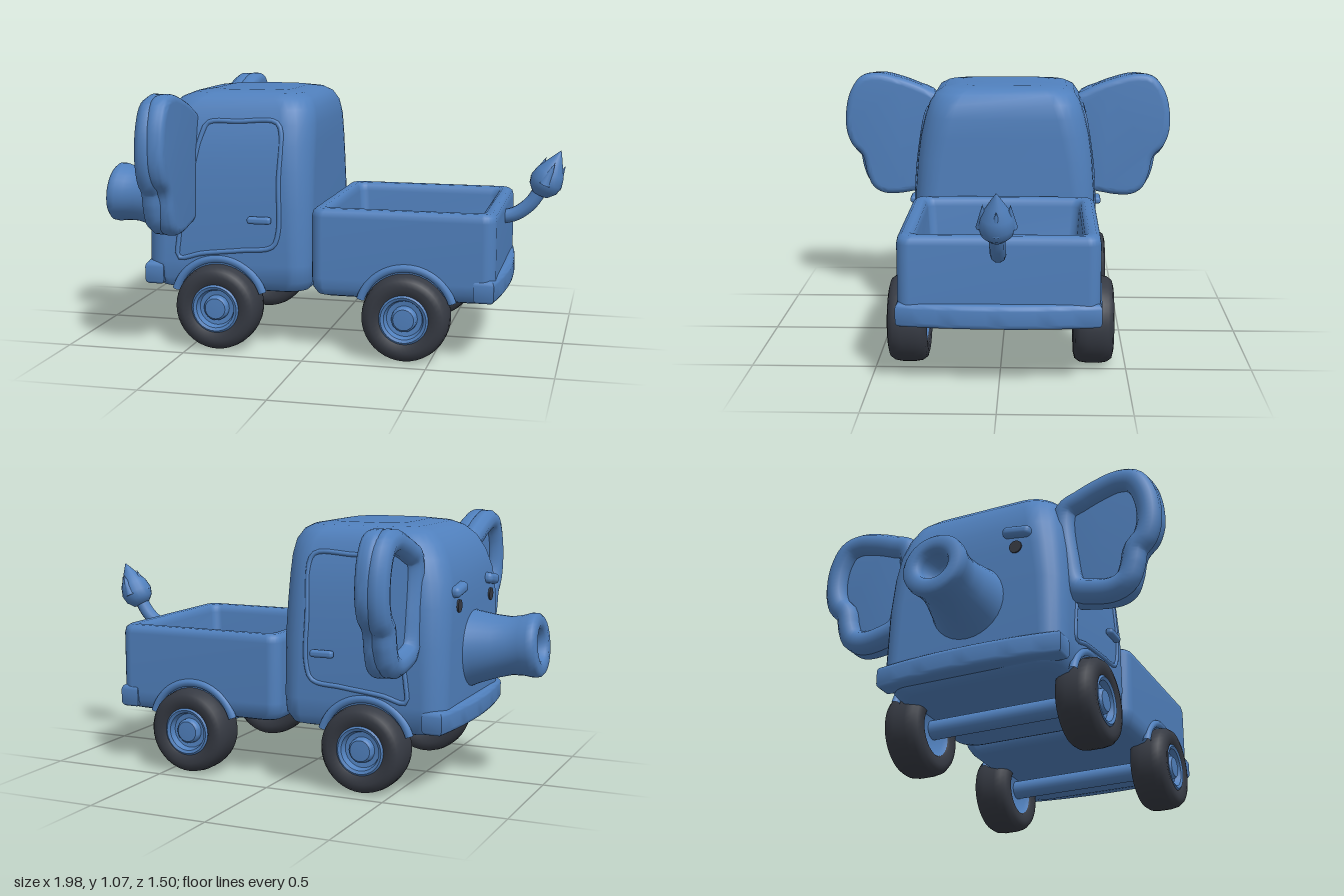
import * as THREE from 'three';
import { toCreasedNormals } from 'three/addons/utils/BufferGeometryUtils.js';
import { RoundedBoxGeometry } from 'three/addons/geometries/RoundedBoxGeometry.js';

const V = (x, y, z) => new THREE.Vector3(x, y, z);
const P = (x, y) => new THREE.Vector2(x, y);

// Stacks rounded rectangles [y, xMin, xMax, halfDepth, cornerRadius] into a closed skin
function loft(sections, n = 6) {
  const pos = [], idx = [], count = 4 * (n + 1);
  for (const [y, x0, x1, hz, r] of sections) {
    const cx = (x0 + x1) / 2, hx = (x1 - x0) / 2;
    for (let q = 0; q < 4; q++) {
      const sx = q === 0 || q === 3 ? 1 : -1, sz = q < 2 ? 1 : -1;
      for (let k = 0; k <= n; k++) {
        const a = (q + k / n) * Math.PI / 2;
        pos.push(cx + sx * (hx - r) + r * Math.cos(a), y, sz * (hz - r) + r * Math.sin(a));
      }
    }
  }
  for (let i = 0; i < sections.length - 1; i++) {
    for (let j = 0; j < count; j++) {
      const a = i * count + j, b = i * count + (j + 1) % count;
      idx.push(a, a + count, b, b, a + count, b + count);
    }
  }
  const last = (sections.length - 1) * count, c0 = pos.length / 3;
  for (const s of [sections[0], sections[sections.length - 1]]) pos.push((s[1] + s[2]) / 2, s[0], 0);
  for (let j = 0; j < count; j++) {
    const k = (j + 1) % count;
    idx.push(c0, j, k, c0 + 1, last + k, last + j);
  }
  const g = new THREE.BufferGeometry();
  g.setAttribute('position', new THREE.Float32BufferAttribute(pos, 3));
  g.setIndex(idx);
  g.computeVertexNormals();
  return g;
}

const tube = (pts, r, closed = false, seg = 48) =>
  new THREE.TubeGeometry(new THREE.CatmullRomCurve3(pts, closed), seg, r, 10, closed);

export function createModel() {
  const group = new THREE.Group();
  const blue = new THREE.MeshStandardMaterial({ color: 0x5080bd });
  blue.name = 'blue paint';
  const black = new THREE.MeshStandardMaterial({ color: 0x363a43 });
  black.name = 'dark rubber';

  const add = (name, geo, mat = blue, parent = group) => {
    const m = new THREE.Mesh(geo, mat);
    m.name = name;
    parent.add(m);
    return m;
  };

  // Cab, narrowing towards the roof
  const cab = [
    [0.24, -0.62, -0.05, 0.32, 0.07], [0.25, -0.66, -0.025, 0.355, 0.08],
    [0.29, -0.695, -0.003, 0.383, 0.09], [0.36, -0.7, 0, 0.39, 0.09],
    [0.6, -0.7, 0.002, 0.388, 0.1], [0.75, -0.698, 0, 0.377, 0.11],
    [0.85, -0.69, 0, 0.364, 0.12], [0.93, -0.665, -0.002, 0.345, 0.12],
    [0.99, -0.63, -0.012, 0.325, 0.12], [1.03, -0.585, -0.035, 0.3, 0.12],
    [1.05, -0.535, -0.07, 0.265, 0.11], [1.06, -0.46, -0.13, 0.2, 0.1]];
  add('cab', loft(cab));
  const cabSide = y => {
    const i = Math.max(1, cab.findIndex(s => s[0] >= y)), a = cab[i - 1], b = cab[i];
    return a[3] + (b[3] - a[3]) * (y - a[0]) / (b[0] - a[0]);
  };

  // Cargo bed: up the outside, over the rim and down to the floor
  add('cargoBed', loft([
    [0.24, 0.05, 0.7, 0.335, 0.04], [0.25, 0.025, 0.73, 0.365, 0.05],
    [0.28, 0.008, 0.747, 0.383, 0.05], [0.32, 0.005, 0.75, 0.387, 0.05],
    [0.57, 0.005, 0.75, 0.387, 0.05], [0.593, 0.01, 0.745, 0.382, 0.05],
    [0.605, 0.025, 0.73, 0.367, 0.045], [0.605, 0.05, 0.705, 0.34, 0.04],
    [0.593, 0.062, 0.69, 0.325, 0.035], [0.57, 0.067, 0.685, 0.32, 0.035],
    [0.45, 0.075, 0.677, 0.312, 0.035], [0.425, 0.082, 0.67, 0.305, 0.035],
    [0.415, 0.11, 0.642, 0.277, 0.03]]));

  // Bowed bumpers
  const bow = new THREE.Shape();
  bow.moveTo(0.69, -0.37);
  bow.lineTo(0.73, -0.37);
  bow.quadraticCurveTo(0.79, 0, 0.73, 0.37);
  bow.lineTo(0.69, 0.37);
  const bowGeo = toCreasedNormals(new THREE.ExtrudeGeometry(bow, {
    depth: 0.052, bevelSize: 0.022, bevelThickness: 0.022, bevelSegments: 4, curveSegments: 16
  }).rotateX(-Math.PI / 2), 0.9);
  add('rearBumper', bowGeo).position.y = 0.272;
  const frontBumper = add('frontBumper', bowGeo);
  frontBumper.rotation.y = Math.PI;
  frontBumper.position.set(0.05, 0.28, 0);

  // Trunk with a hollow flared tip
  const trunkProfile = [[0.19, -0.02], [0.165, 0.03], [0.148, 0.08], [0.128, 0.16], [0.118, 0.22],
    [0.122, 0.27], [0.13, 0.305], [0.128, 0.33], [0.115, 0.343], [0.085, 0.345],
    [0.066, 0.335], [0.058, 0.31], [0.052, 0.24], [0, 0.235]];
  const trunk = add('trunk', new THREE.LatheGeometry(trunkProfile.map(p => P(...p)), 32));
  trunk.position.set(-0.642, 0.548, 0);
  trunk.rotation.z = Math.PI / 2 - 0.09;

  // Ears: a smooth plate with a thick rim round a hollow front
  const earOutline = [[0.31, 0.97], [0.4, 1.015], [0.5, 1.05], [0.6, 1.07], [0.68, 1.05], [0.735, 0.96],
    [0.75, 0.83], [0.725, 0.74], [0.675, 0.685], [0.655, 0.6], [0.625, 0.535], [0.56, 0.505],
    [0.45, 0.515], [0.36, 0.55], [0.32, 0.7]];
  for (const s of [1, -1]) {
    const ear = new THREE.Group();
    ear.name = s > 0 ? 'leftSideEar' : 'rightSideEar';
    group.add(ear);
    const flat = new THREE.SplineCurve([...earOutline, earOutline[0]].map(([z, y]) => P(s * z, y)));
    const plate = new THREE.ExtrudeGeometry(new THREE.Shape(flat.getPoints(60).slice(0, -1)), {
      depth: 0.02, bevelSize: 0.03, bevelOffset: -0.03, bevelThickness: 0.03, bevelSegments: 5
    }).rotateY(-Math.PI / 2);
    add('earPlate', toCreasedNormals(plate, 0.8), blue, ear).position.x = -0.505;
    const rim = earOutline.map(([z, y]) =>
      V(-0.556, 0.79 + (y - 0.79) * 0.83, s * (0.53 + (z - 0.53) * 0.79)));
    add('earRim', tube(rim, 0.049, true, 72), blue, ear);
  }

  // Brows, eyes, door outlines and handles on both sides
  const door = [[-0.45, 0.9], [-0.43, 0.935], [-0.3, 0.942], [-0.15, 0.945], [-0.125, 0.92], [-0.125, 0.7],
    [-0.125, 0.5], [-0.15, 0.44], [-0.28, 0.42], [-0.45, 0.4], [-0.55, 0.38], [-0.55, 0.45], [-0.5, 0.7]];
  for (const s of [1, -1]) {
    const brow = add('brow', new RoundedBoxGeometry(0.05, 0.045, 0.12, 4, 0.02));
    brow.position.set(-0.697, 0.81, s * 0.21);
    brow.rotation.x = s * 0.15;
    const eye = add('eye', new THREE.CylinderGeometry(0.026, 0.026, 0.009, 20), black);
    eye.rotation.z = Math.PI / 2;
    eye.position.set(-0.7, 0.745, s * 0.205);
    add('doorOutline', tube(door.map(([x, y]) => V(x, y, s * (cabSide(y) - 0.002))), 0.01, true, 80));
    add('doorHandle', new RoundedBoxGeometry(0.1, 0.03, 0.03, 3, 0.012)).position.set(-0.2, 0.55, s * 0.405);
  }

  // Tail with a pointed tuft
  add('tail', tube([V(0.71, 0.53, 0), V(0.79, 0.55, 0), V(0.85, 0.595, 0), V(0.9, 0.67, 0)], 0.03, false, 24));
  const tuft = new THREE.Group();
  tuft.name = 'tailTuft';
  tuft.position.set(0.885, 0.628, 0);
  tuft.rotation.z = -0.42;
  group.add(tuft);
  const bud = [[0, 0], [0.035, 0.008], [0.06, 0.035], [0.068, 0.07], [0.058, 0.11], [0.035, 0.15], [0.015, 0.185], [0, 0.21]];
  add('tuftCore', new THREE.LatheGeometry(bud.map(p => P(...p)), 20), blue, tuft);
  for (const [x, z] of [[0, 1], [0, -1], [1, 0], [-1, 0]]) {
    const lock = add('tuftLock', new THREE.ConeGeometry(0.026, 0.1, 10), blue, tuft);
    lock.position.set(x * 0.043, 0.11, z * 0.05);
  }

  // Wheels, axles and arch lips
  const tyre = [[0.09, -0.06], [0.105, -0.076], [0.135, -0.08], [0.158, -0.074], [0.172, -0.055], [0.177, -0.025],
    [0.177, 0.025], [0.172, 0.055], [0.158, 0.074], [0.135, 0.08], [0.105, 0.076], [0.09, 0.06]];
  const hub = [[0, -0.055], [0.08, -0.055], [0.1, -0.07], [0.1, 0.07], [0.092, 0.076], [0.08, 0.07],
    [0.072, 0.045], [0.052, 0.042], [0.05, 0.062], [0.042, 0.07], [0, 0.072]];
  const tyreGeo = new THREE.LatheGeometry(tyre.map(p => P(...p)), 40);
  const hubGeo = toCreasedNormals(new THREE.LatheGeometry(hub.map(p => P(...p)), 32), 0.7);
  for (const x of [-0.38, 0.4]) {
    const axle = add('axle', new THREE.CylinderGeometry(0.04, 0.04, 0.66, 20));
    axle.rotation.x = Math.PI / 2;
    axle.position.set(x, 0.19, 0);
    for (const s of [1, -1]) {
      const wheel = new THREE.Group();
      wheel.name = x < 0 ? 'frontWheel' : 'rearWheel';
      wheel.position.set(x, 0.182, s * 0.37);
      wheel.rotation.x = s * Math.PI / 2;
      group.add(wheel);
      add('tyre', tyreGeo, black, wheel);
      add('hub', hubGeo, blue, wheel);
      const lip = add('archLip', new THREE.TorusGeometry(0.195, 0.017, 10, 32, Math.PI * 0.8));
      lip.rotation.z = Math.PI * 0.1;
      lip.position.set(x, 0.185, s * 0.383);
    }
  }
  return group;
}
